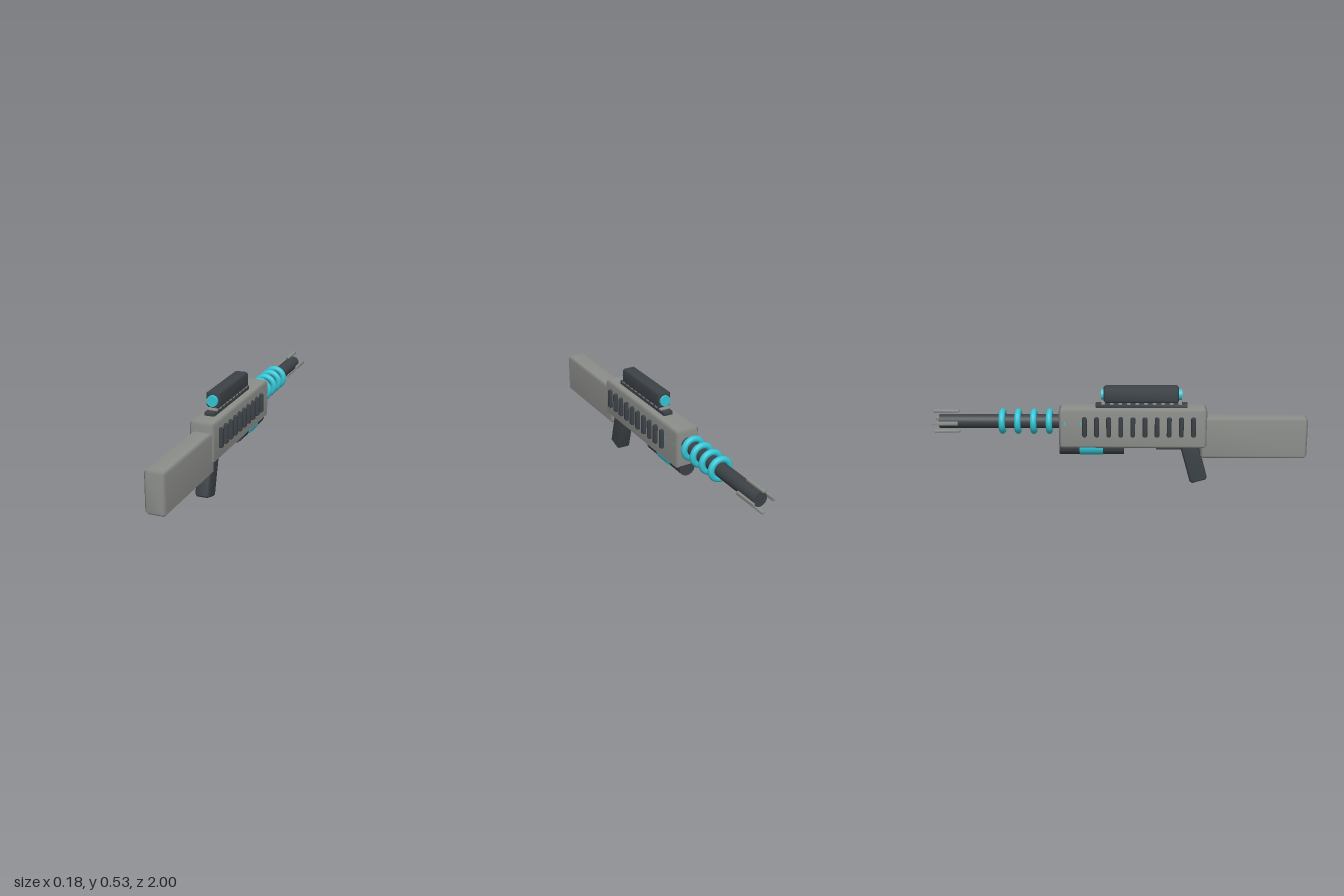
import * as THREE from 'three';
import { mergeVertices } from 'three/addons/utils/BufferGeometryUtils.js';
import { ConvexGeometry } from 'three/addons/geometries/ConvexGeometry.js';

// Box with chamfered edges and softly blended normals
function chamferBox(w, h, d, c) {
  const points = [];
  for (const x of [-1, 1]) for (const y of [-1, 1]) for (const z of [-1, 1]) {
    for (let face = 0; face < 3; face++) {
      points.push(new THREE.Vector3(
        x * (w / 2 - (face === 0 ? 0 : c)),
        y * (h / 2 - (face === 1 ? 0 : c)),
        z * (d / 2 - (face === 2 ? 0 : c))
      ));
    }
  }
  const hull = new ConvexGeometry(points);
  hull.deleteAttribute('normal');
  const geometry = mergeVertices(hull, 1e-5);
  geometry.computeVertexNormals();
  return geometry;
}

// Cylinder lying along z
function zCylinder(radius, length, sides = 32) {
  return new THREE.CylinderGeometry(radius, radius, length, sides).rotateX(Math.PI / 2);
}

export function createModel() {
  const model = new THREE.Group();
  const material = (name, color) => {
    const m = new THREE.MeshStandardMaterial({ color });
    m.name = name;
    return m;
  };
  const grey = material('warm grey', 0x8c8e8a);
  const dark = material('dark slate', 0x3c4247);
  const cyan = material('cyan', 0x35c4d4);

  const add = (name, geometry, mat, x, y, z, parent = model) => {
    const mesh = new THREE.Mesh(geometry, mat);
    mesh.name = name;
    mesh.position.set(x, y, z);
    parent.add(mesh);
    return mesh;
  };

  // Receiver and stock
  add('receiver', chamferBox(0.136, 0.214, 0.788, 0.014), grey, 0, 0.313, 0.069);
  add('stock', chamferBox(0.11, 0.222, 0.57, 0.014), grey, 0, 0.258, 0.715);

  // Raked grip and trigger bar
  const grip = add('grip', chamferBox(0.078, 0.23, 0.096, 0.011), dark, 0, 0.12, 0.397);
  grip.rotation.x = -0.27;
  add('trigger', chamferBox(0.03, 0.03, 0.14, 0.004), dark, 0, 0.198, 0.265);

  // Side vents, mirrored
  const ventGeometry = chamferBox(0.04, 0.108, 0.025, 0.007);
  for (const side of [-1, 1]) {
    for (let i = 0; i < 10; i++) {
      add('vent', ventGeometry, dark, side * 0.068, 0.326, 0.39 - i * 0.0642);
    }
  }

  // Barrel with glowing coils, the first two buried in the receiver
  const barrelY = 0.338;
  add('barrel', zCylinder(0.038, 0.77), dark, 0, barrelY, -0.583);
  const coilGeometry = new THREE.TorusGeometry(0.052, 0.0172, 14, 36);
  for (let i = 0; i < 6; i++) {
    add('coil', coilGeometry, cyan, 0, barrelY, -0.21 - i * 0.084);
  }

  // Four muzzle prongs around the barrel tip
  const prongGeometry = chamferBox(0.02, 0.014, 0.138, 0.003);
  for (let i = 0; i < 4; i++) {
    const a = i * Math.PI / 2;
    const prong = add('muzzleProng', prongGeometry, grey,
      Math.sin(a) * 0.056, barrelY + Math.cos(a) * 0.056, -0.931);
    prong.rotation.z = -a;
  }

  // Power cell under the receiver
  add('powerCell', zCylinder(0.045, 0.345), dark, 0, 0.201, -0.152);
  add('powerCellBand', zCylinder(0.049, 0.126), cyan, 0, 0.201, -0.153);

  // Sight rail, teeth, sight body and lenses
  add('sightRail', chamferBox(0.054, 0.024, 0.49, 0.003), dark, 0, 0.428, 0.115);
  const toothGeometry = chamferBox(0.058, 0.012, 0.02, 0.002);
  for (let i = 0; i < 10; i++) {
    add('railTooth', toothGeometry, grey, 0, 0.442, 0.32 - i * 0.0455);
  }
  add('sightBody', chamferBox(0.078, 0.083, 0.4, 0.01), dark, 0, 0.4895, 0.113);
  for (const end of [-1, 1]) {
    add('lens', zCylinder(0.029, 0.03), cyan, 0, 0.488, 0.115 + end * 0.2);
  }

  return model;
}
